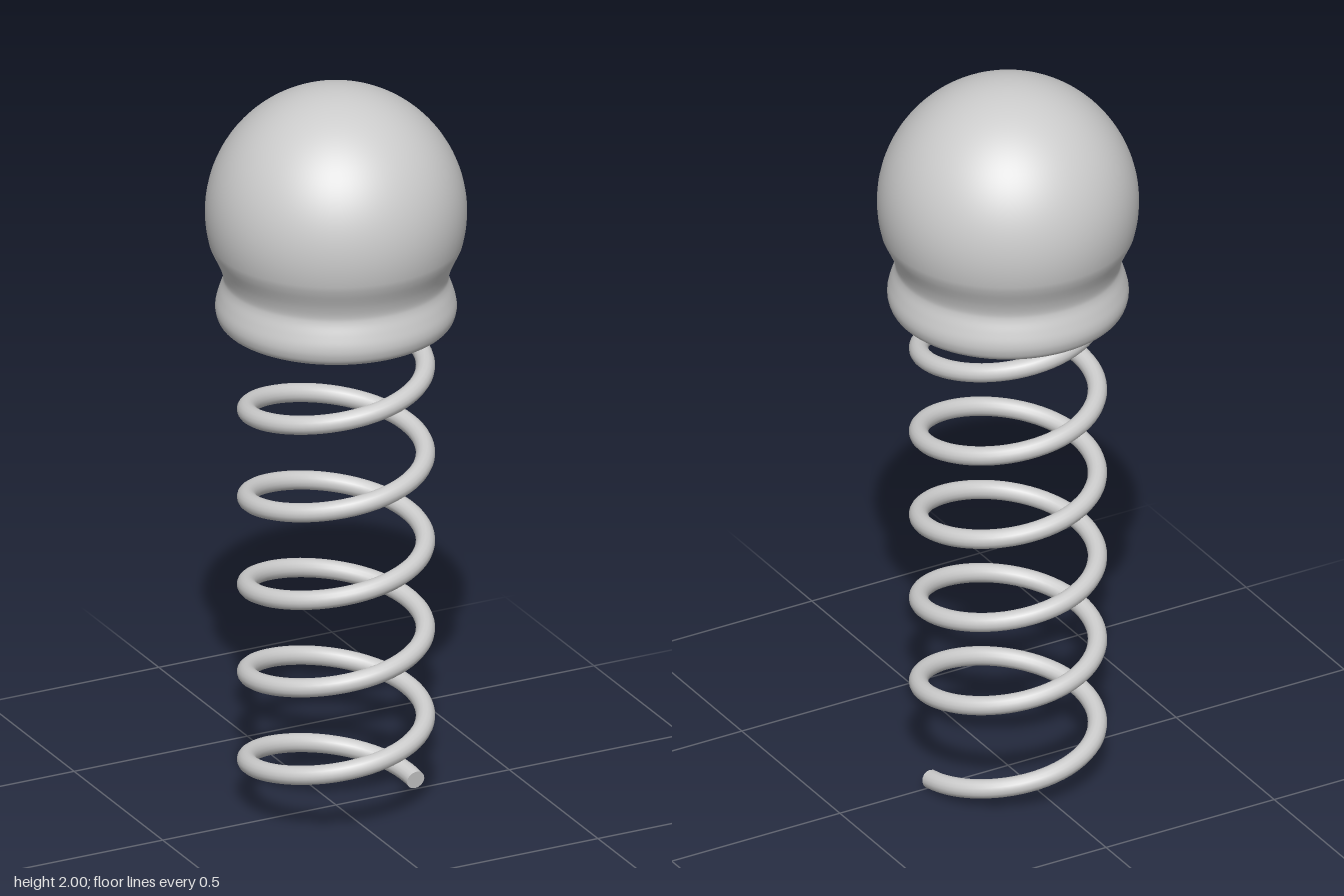
import * as THREE from 'three';

const material = new THREE.MeshStandardMaterial({ color: 0xcccccc });
const COIL_RADIUS = 0.23, WIRE = 0.025, PITCH = 0.245, TURNS = 5.6;

// Rising coil that starts at +x and turns towards -z
class Helix extends THREE.Curve {
  getPoint(t, target = new THREE.Vector3()) {
    const a = t * TURNS * Math.PI * 2;
    return target.set(COIL_RADIUS * Math.cos(a), WIRE + t * TURNS * PITCH, -COIL_RADIUS * Math.sin(a));
  }
}

function addMesh(parent, name, geometry) {
  const mesh = new THREE.Mesh(geometry, material);
  mesh.name = name;
  parent.add(mesh);
  return mesh;
}

export function createModel() {
  const model = new THREE.Group();
  model.name = 'springWithKnob';

  // Coil spring with flat wire ends
  const spring = new THREE.Group();
  spring.name = 'spring';
  model.add(spring);
  const helix = new Helix();
  addMesh(spring, 'coil', new THREE.TubeGeometry(helix, 360, WIRE, 16));
  for (const [t, sign] of [[0, -1], [1, 1]]) {
    const cap = addMesh(spring, 'wireEnd', new THREE.CircleGeometry(WIRE, 16));
    const out = helix.getTangent(t).multiplyScalar(sign);
    cap.position.copy(helix.getPoint(t));
    cap.quaternion.setFromUnitVectors(new THREE.Vector3(0, 0, 1), out);
  }

  // Round knob flowing through a shallow neck into a rolled rim
  const R = 0.337, CY = 1.663;
  const skirt = new THREE.SplineCurve([
    [0.23, 1.343], [0.265, 1.348], [0.297, 1.362], [0.309, 1.385], [0.31, 1.41],
    [0.302, 1.44], [0.292, 1.47], [0.291, 1.49], [0.3, 1.52], [0.316, 1.555],
  ].map(([x, y]) => new THREE.Vector2(x, y)));
  const profile = skirt.getPoints(45);
  const start = Math.asin((1.575 - CY) / R);
  for (let i = 0; i <= 40; i++) {
    const a = start + (Math.PI / 2 - start) * i / 40;
    profile.push(new THREE.Vector2(i === 40 ? 0 : R * Math.cos(a), CY + R * Math.sin(a)));
  }
  addMesh(model, 'knob', new THREE.LatheGeometry(profile, 72));

  // Flat underside closing the knob
  const underside = addMesh(model, 'knobUnderside', new THREE.CircleGeometry(0.23, 72));
  underside.rotation.x = Math.PI / 2;
  underside.position.y = 1.343;

  return model;
}
